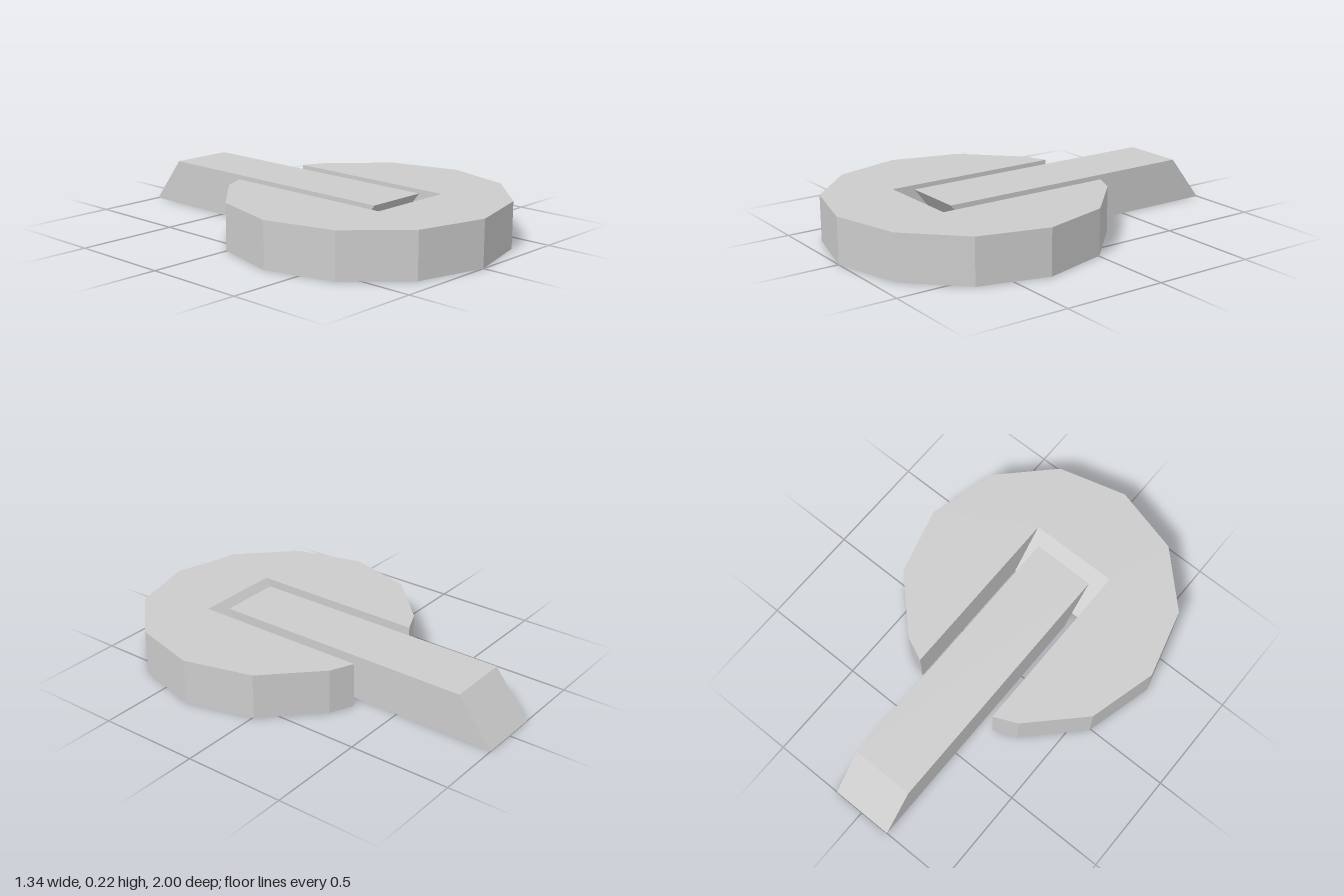
import * as THREE from 'three';

const HEIGHT = 0.223;
const SLANT = 0.175; // how far sloped ends lean over the full height

export function createModel() {
  const model = new THREE.Group();
  const material = new THREE.MeshStandardMaterial({ color: 0xcccccc, flatShading: true });

  const add = (geometry, name) => {
    geometry.computeVertexNormals();
    const mesh = new THREE.Mesh(geometry, material);
    mesh.name = name;
    model.add(mesh);
  };

  // Twelve-sided disc with a slot open to the back (outline in x, z)
  const radius = 0.67, centreZ = 0.33, slotX = 0.22, slotEnd = 0.59, mouthZ = -0.302;
  const outline = [new THREE.Vector2(slotX, mouthZ)];
  for (let i = -5; i <= 5; i++) {
    const a = (i * Math.PI) / 6;
    outline.push(new THREE.Vector2(-Math.sin(a) * radius, centreZ + Math.cos(a) * radius));
  }
  outline.push(
    new THREE.Vector2(-slotX, mouthZ),
    new THREE.Vector2(-slotX, slotEnd),
    new THREE.Vector2(slotX, slotEnd)
  );
  const disc = new THREE.ExtrudeGeometry(new THREE.Shape(outline), { depth: HEIGHT, bevelEnabled: false });
  disc.rotateX(Math.PI / 2).translate(0, HEIGHT, 0);

  // Slope the closed end of the slot: its lower edge sits further back
  const p = disc.attributes.position;
  for (let i = 0; i < p.count; i++) {
    const atSlotEnd = Math.abs(Math.abs(p.getX(i)) - slotX) < 1e-4 && Math.abs(p.getZ(i) - slotEnd) < 1e-4;
    if (atSlotEnd && p.getY(i) < HEIGHT / 2) p.setZ(i, slotEnd - SLANT);
  }
  add(disc, 'slottedDisc');

  // Bar lying in the slot, sheared so both ends lean forward at the top
  const barLength = 1.335;
  const bar = new THREE.BoxGeometry(0.312, HEIGHT, barLength);
  bar.translate(0, HEIGHT / 2, barLength / 2 - 1);
  const q = bar.attributes.position;
  for (let i = 0; i < q.count; i++) q.setZ(i, q.getZ(i) + (SLANT * q.getY(i)) / HEIGHT);
  add(bar, 'bar');

  return model;
}
